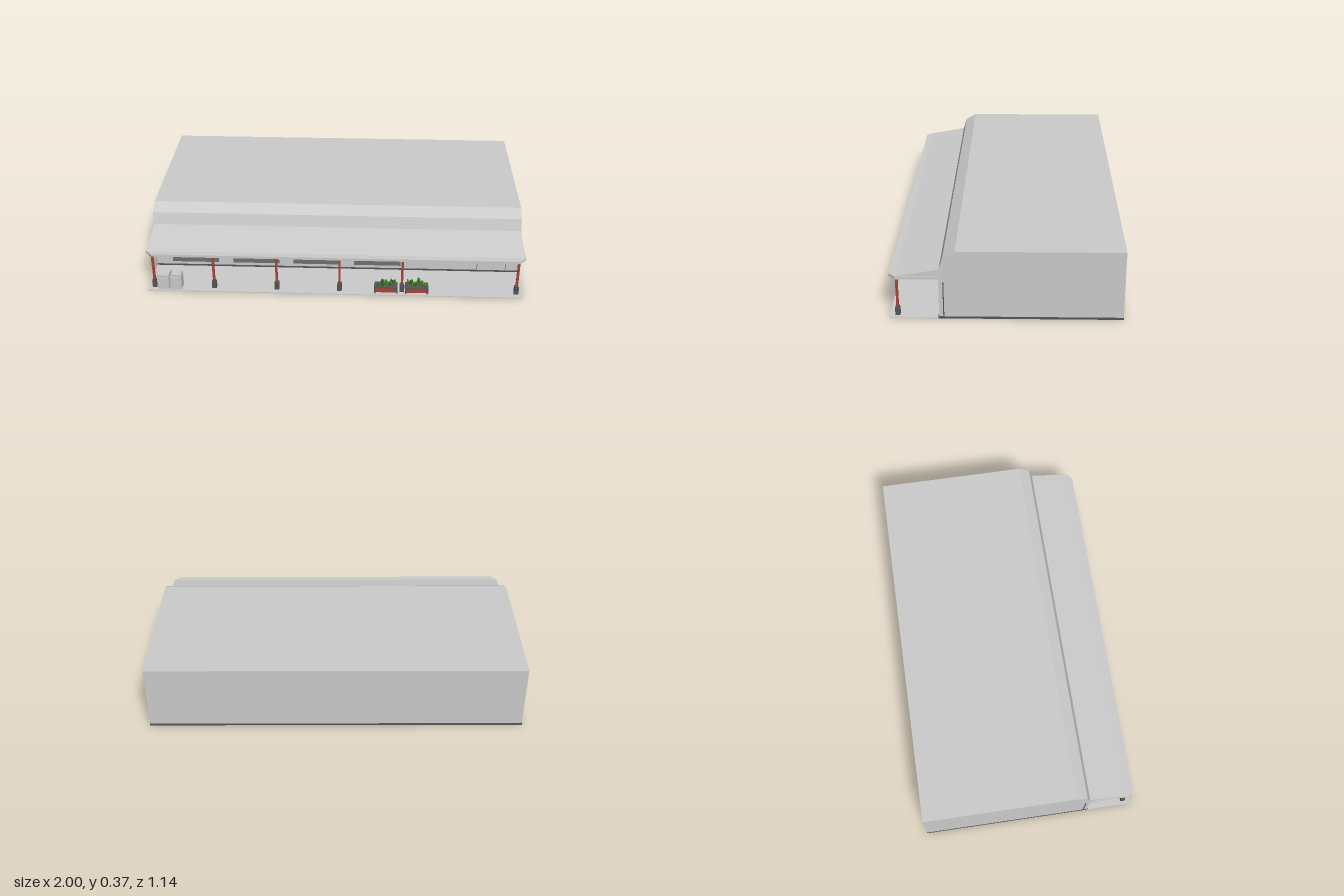
import * as THREE from 'three';

const mat = (color) => new THREE.MeshStandardMaterial({ color, side: THREE.DoubleSide, flatShading: true });
const grey = mat(0xcccccc), dark = mat(0x555555), glass = mat(0x707070), red = mat(0xa8443a);
const green = mat(0x4a8a2c), leafDark = mat(0x2f6420);

function add(parent, name, geometry, material, x = 0, y = 0, z = 0) {
  const mesh = new THREE.Mesh(geometry, material);
  mesh.name = name;
  mesh.position.set(x, y, z);
  parent.add(mesh);
  return mesh;
}

// Box given by its minimum and maximum on each axis
function box(parent, name, material, x0, x1, y0, y1, z0, z1) {
  return add(parent, name, new THREE.BoxGeometry(x1 - x0, y1 - y0, z1 - z0), material,
    (x0 + x1) / 2, (y0 + y1) / 2, (z0 + z1) / 2);
}

// Sheet running along x that follows a side profile of [z, y] points
function sheet(profile, halfWidth) {
  const pos = [];
  for (let i = 0; i < profile.length - 1; i++) {
    const [z0, y0] = profile[i], [z1, y1] = profile[i + 1], w = halfWidth;
    pos.push(-w, y0, z0, w, y1, z1, w, y0, z0, -w, y0, z0, -w, y1, z1, w, y1, z1);
  }
  const g = new THREE.BufferGeometry();
  g.setAttribute('position', new THREE.Float32BufferAttribute(pos, 3));
  g.computeVertexNormals();
  return g;
}

// Flat end panel with the same [z, y] profile
function endPanel(parent, name, profile, x) {
  const shape = new THREE.Shape(profile.map(([z, y]) => new THREE.Vector2(-z, y)));
  const mesh = add(parent, name, new THREE.ShapeGeometry(shape), grey, x);
  mesh.rotation.y = Math.PI / 2;
}

function makeHall() {
  const g = new THREE.Group();
  g.name = 'hall';
  // Hollow shell, open underneath
  const profile = [[-0.57, 0], [-0.57, 0.365], [0.245, 0.365], [0.305, 0.33], [0.325, 0.265], [0.328, 0.215], [0.328, 0]];
  add(g, 'wallsAndRoof', sheet(profile, 0.998), grey);
  for (const s of [-1, 1]) {
    endPanel(g, 'sideWall', profile, s * 0.998);
    box(g, 'sideSkirting', dark, s * 0.998 - 0.002, s * 0.998 + 0.002, 0, 0.011, -0.57, 0.33);
    box(g, 'cornerTrim', dark, s * 0.998 - 0.002, s * 0.998 + 0.002, 0, 0.2, 0.303, 0.308);
  }
  box(g, 'frontSkirting', dark, -1, 1, 0, 0.012, 0.326, 0.332);
  box(g, 'backSkirting', dark, -1, 1, 0, 0.011, -0.572, -0.568);
  // Display windows
  for (const x of [-0.91, -0.573, -0.238, 0.098]) {
    box(g, 'window', glass, x, x + 0.256, 0.03, 0.152, 0.324, 0.331);
  }
  // Shutter door in a slim frame
  box(g, 'door', grey, 0.778, 0.93, 0.014, 0.182, 0.325, 0.331);
  for (const x of [0.775, 0.93]) box(g, 'doorJamb', dark, x, x + 0.002, 0.012, 0.184, 0.325, 0.333);
  box(g, 'doorHead', dark, 0.775, 0.932, 0.182, 0.184, 0.325, 0.333);
  return g;
}

function makeCanopy() {
  const g = new THREE.Group();
  g.name = 'canopy';
  const slope = [[0.328, 0.228], [0.325, 0.267], [0.535, 0.229]];
  add(g, 'canopySlope', sheet(slope.slice(1), 0.995), grey);
  for (const s of [-1, 1]) endPanel(g, 'canopyGable', slope, s * 0.995);
  // Eaves slab with clipped front corners
  const plan = new THREE.Shape([[-1, -0.328], [1, -0.328], [1, -0.535], [0.965, -0.569], [-0.965, -0.569], [-1, -0.535]]
    .map(([x, y]) => new THREE.Vector2(x, y)));
  const eaves = new THREE.ExtrudeGeometry(plan, { depth: 0.014, bevelEnabled: false });
  add(g, 'eaves', eaves, grey, 0, 0.215).rotation.x = -Math.PI / 2;
  box(g, 'postBeam', dark, -0.98, 0.98, 0.208, 0.215, 0.53, 0.54);
  return g;
}

function makePost(x) {
  const g = new THREE.Group();
  g.name = 'post';
  box(g, 'postBase', dark, -0.012, 0.012, 0, 0.045, -0.012, 0.012);
  box(g, 'postCollar', dark, -0.009, 0.009, 0.045, 0.052, -0.009, 0.009);
  box(g, 'postShaft', red, -0.006, 0.006, 0.05, 0.208, -0.006, 0.006);
  box(g, 'postCapital', dark, -0.012, 0.012, 0.204, 0.215, -0.012, 0.012);
  g.position.set(x, 0, 0.533);
  return g;
}

function makePlanter(x, seed) {
  const g = new THREE.Group();
  g.name = 'planter';
  const rand = () => (seed = (seed * 16807) % 2147483647) / 2147483647;
  box(g, 'planterTrough', red, -0.06, 0.06, 0.008, 0.036, -0.026, 0.026);
  box(g, 'planterRim', dark, -0.062, 0.062, 0.036, 0.04, -0.028, 0.028);
  for (const sx of [-1, 1]) for (const sz of [-1, 1]) {
    add(g, 'planterFoot', new THREE.BoxGeometry(0.008, 0.04, 0.008), dark, sx * 0.058, 0.02, sz * 0.024);
  }
  // Leafy tufts
  for (let i = 0; i < 16; i++) {
    const h = 0.018 + rand() * 0.022;
    const leaf = add(g, 'leaf', new THREE.SphereGeometry(1, 5, 4), i % 3 ? green : leafDark,
      (rand() - 0.5) * 0.095, 0.038 + h / 2, (rand() - 0.5) * 0.038);
    leaf.scale.set(0.009, h / 2, 0.006);
    leaf.rotation.set((rand() - 0.5) * 1.2, rand() * 3, (rand() - 0.5) * 1.2);
  }
  g.position.set(x, 0.002, 0.532);
  return g;
}

// Storage chest with a clipped-corner front outline
function makeChest(x0, x1, h, clip) {
  const g = new THREE.Group();
  g.name = 'storageChest';
  const w = x1 - x0;
  const outline = new THREE.Shape([[0, 0], [w, 0], [w, h - clip], [w - clip, h], [clip, h], [0, h - clip]]
    .map(([x, y]) => new THREE.Vector2(x, y)));
  add(g, 'chestBody', new THREE.ExtrudeGeometry(outline, { depth: 0.058, bevelEnabled: false }), grey, x0, 0.003, 0.507);
  box(g, 'chestDoor', grey, x0 + 0.007, x1 - 0.007, 0.012, h - 0.016, 0.563, 0.568);
  return g;
}

export function createModel() {
  const model = new THREE.Group();
  model.name = 'shopBuilding';
  model.add(makeHall(), makeCanopy());
  box(model, 'pavement', grey, -1, 1, 0, 0.004, 0.328, 0.572);
  for (const x of [-0.97, -0.648, -0.311, 0.025, 0.358, 0.967]) model.add(makePost(x));
  model.add(makePlanter(0.273, 11), makePlanter(0.437, 77));
  model.add(makeChest(-0.95, -0.886, 0.092, 0.004), makeChest(-0.88, -0.82, 0.097, 0.01));
  return model;
}
